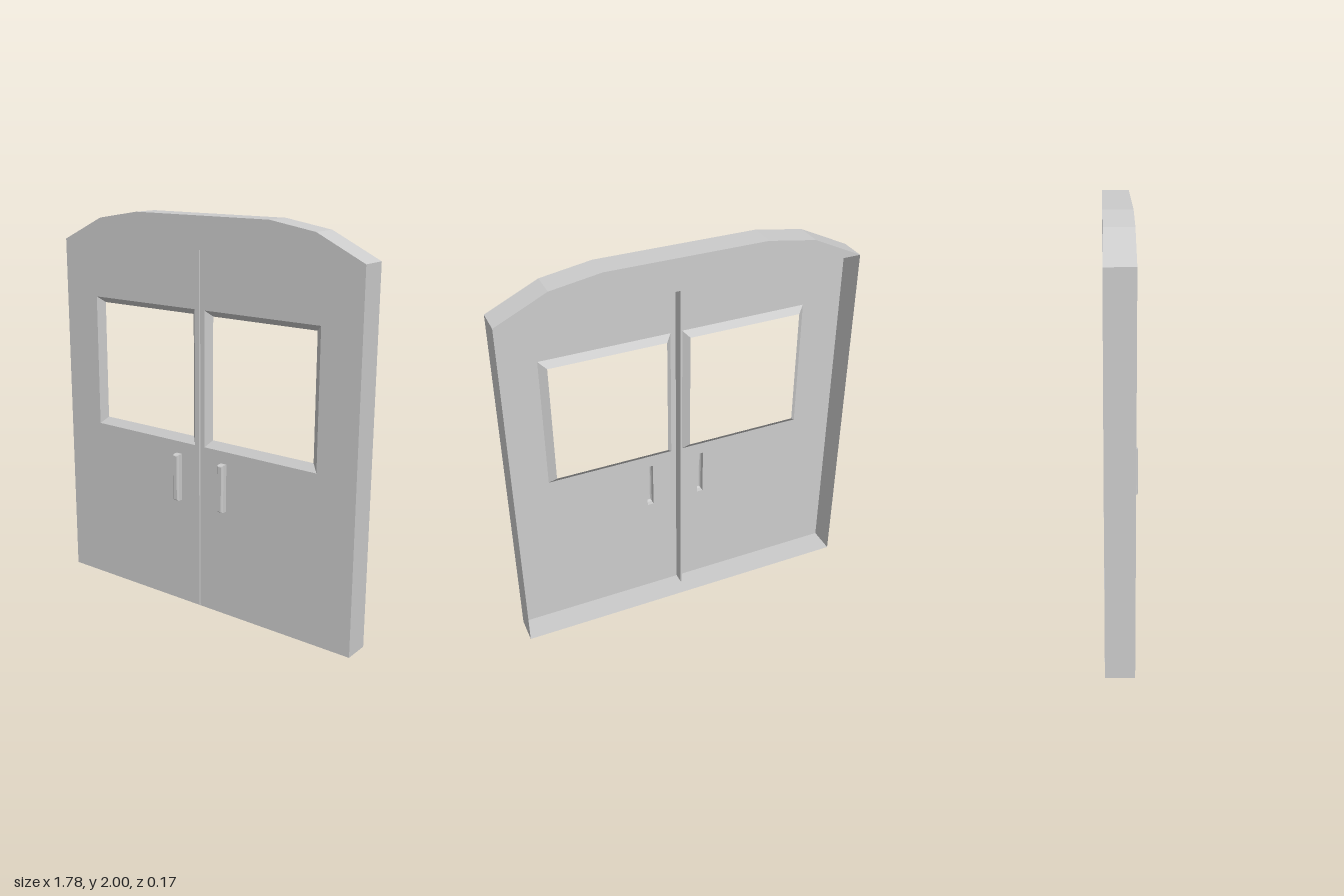
import * as THREE from 'three';

const FRONT = 0.05, BACK = -0.085;

export function createModel() {
  const group = new THREE.Group();
  const mat = new THREE.MeshStandardMaterial({ color: 0xcccccc, flatShading: true, side: THREE.DoubleSide });
  const add = (name, geo) => {
    const mesh = new THREE.Mesh(geo, mat);
    mesh.name = name;
    group.add(mesh);
    return mesh;
  };

  const rect = (x0, x1, y0, y1) => [[x0, y0], [x1, y0], [x1, y1], [x0, y1]];
  const inset = ([a, , c], d) => rect(a[0] + d, c[0] - d, a[1] + d, c[1] - d);
  const toVectors = (pts) => pts.map(([x, y]) => new THREE.Vector2(x, y));

  // Sheet walls through a series of outlines, each { pts, z }; listed front to back
  // for outward faces, optionally closed at the last outline.
  const loft = (rings, closed = false) => {
    const pos = [];
    for (let r = 0; r < rings.length - 1; r++) {
      const n = rings[r].pts.length;
      for (let i = 0; i < n; i++) {
        const j = (i + 1) % n;
        const a = [...rings[r].pts[i], rings[r].z], b = [...rings[r].pts[j], rings[r].z];
        const c = [...rings[r + 1].pts[j], rings[r + 1].z], d = [...rings[r + 1].pts[i], rings[r + 1].z];
        pos.push(...a, ...d, ...c, ...a, ...c, ...b);
      }
    }
    if (closed) {
      const { pts: p, z } = rings[rings.length - 1];
      for (const i of [0, 1, 2, 0, 2, 3]) pos.push(...p[i], z);
    }
    const geo = new THREE.BufferGeometry();
    geo.setAttribute('position', new THREE.Float32BufferAttribute(pos, 3));
    geo.computeVertexNormals();
    return geo;
  };

  // Outline with a faceted arched top
  const arch = [[0.89, 1.84], [0.64, 1.96], [0.395, 2], [-0.395, 2], [-0.64, 1.96], [-0.89, 1.84]];
  const outline = [[-0.89, 0], [0.89, 0], ...arch];

  const windows = [
    { outer: rect(-0.68, -0.03, 0.87, 1.555), inner: rect(-0.645, -0.06, 0.905, 1.525) },
    { outer: rect(0.03, 0.68, 0.87, 1.555), inner: rect(0.06, 0.645, 0.905, 1.525) },
  ];
  const handles = [-0.132, 0.149].map((x) => rect(x - 0.0165, x + 0.0165, 0.56, 0.807));
  const seam = rect(-0.004, 0.004, 0.004, 1.84);

  // Front sheet with openings
  const panel = new THREE.Shape(toVectors(outline));
  for (const hole of [...windows.map((w) => w.outer), ...handles, seam]) {
    panel.holes.push(new THREE.Path(toVectors(hole)));
  }
  add('doorPanel', new THREE.ShapeGeometry(panel)).position.z = FRONT;

  // Rim folded back around the whole edge, and the closed back of the arch
  add('outerRim', loft([{ pts: outline, z: FRONT }, { pts: outline, z: BACK }]));
  add('archBack', new THREE.ShapeGeometry(new THREE.Shape(toVectors(arch)))).position.z = BACK;

  // Bevelled window reveals
  for (const w of windows) {
    add('windowReveal', loft([{ pts: w.outer, z: FRONT }, { pts: w.inner, z: FRONT - 0.03 }]));
  }

  // Pull handles, hollow from behind, with chamfered front edges
  for (const h of handles) {
    add('handle', loft([
      { pts: h, z: FRONT },
      { pts: h, z: 0.074 },
      { pts: inset(h, 0.003), z: 0.082 },
      { pts: inset(h, 0.007), z: 0.085 },
    ], true));
  }

  // Deep narrow seam between the two leaves
  add('centreSeam', loft([{ pts: seam, z: FRONT }, { pts: seam, z: FRONT - 0.06 }], true));

  return group;
}
